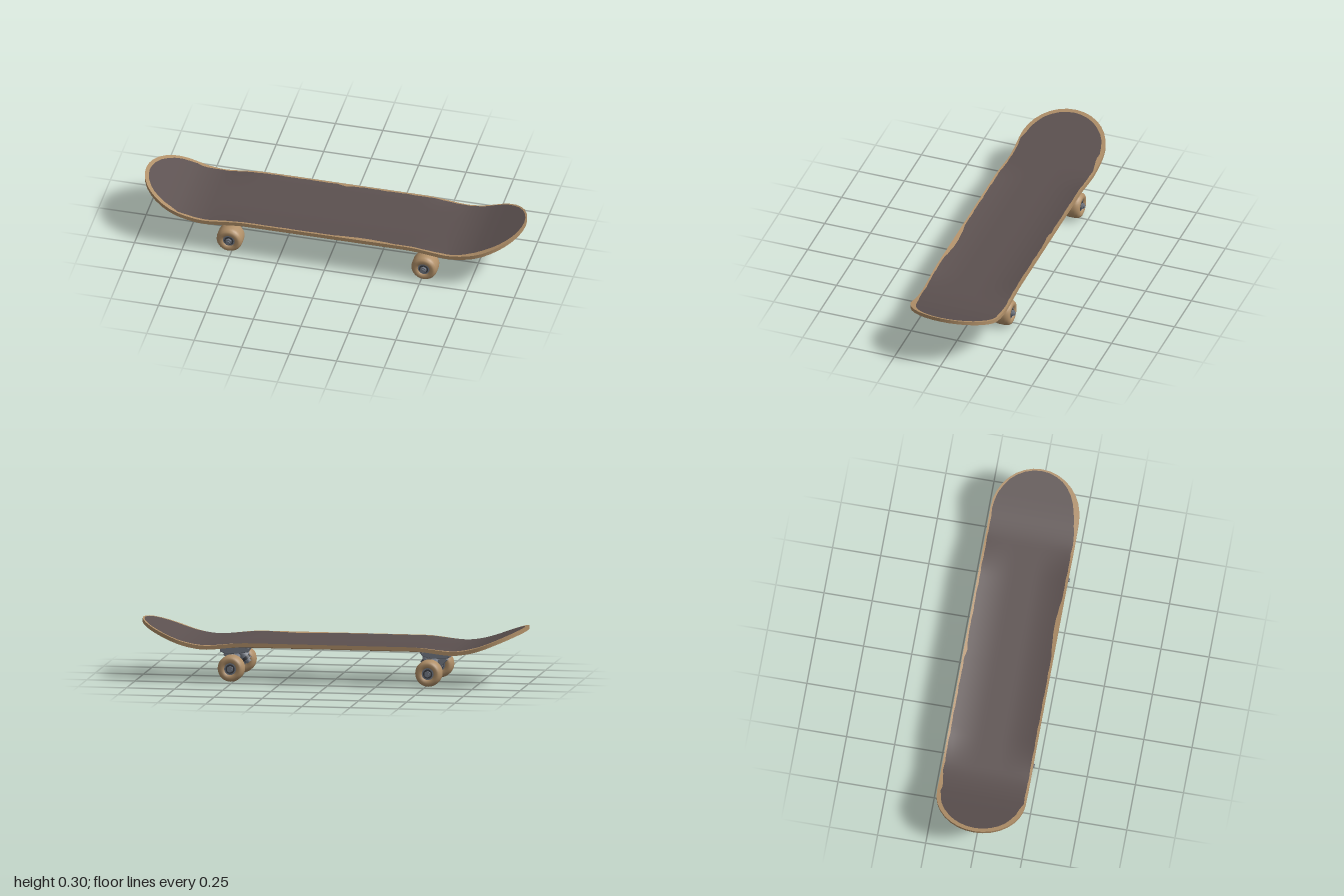
import * as THREE from 'three';

const mat = (name, color) => Object.assign(new THREE.MeshStandardMaterial({ color }), { name });
const wood = mat('wood', 0xb08f68);
const grip = mat('grip', 0x5b504f);
const metal = mat('metal', 0x747a85);
const dark = mat('darkMetal', 0x3d4046);

const HALF_W = 0.23, STRAIGHT = 0.78, THICK = 0.02;

function add(parent, name, geometry, material, pos = [0, 0, 0]) {
  const m = new THREE.Mesh(geometry, material);
  m.name = name;
  m.position.set(...pos);
  parent.add(m);
  return m;
}

// Grid surface from a rule f(i, v); i is the lengthwise station, v runs 0..1
function patch(f, nu, nv) {
  const pos = [], index = [];
  for (let i = 0; i <= nu; i++) for (let j = 0; j <= nv; j++) pos.push(...f(i, j / nv));
  for (let i = 0; i < nu; i++) for (let j = 0; j < nv; j++) {
    const a = i * (nv + 1) + j, b = a + nv + 1;
    index.push(a, a + 1, b, a + 1, b + 1, b);
  }
  const g = new THREE.BufferGeometry();
  g.setAttribute('position', new THREE.Float32BufferAttribute(pos, 3));
  g.setIndex(index);
  g.computeVertexNormals();
  return g;
}

// Lengthwise stations: straight middle and elliptical ends
const END = 8, MID = 64, ROWS = END * 2 + MID;
function station(i, inset) {
  const end = i < END ? i - END : Math.max(0, i - END - MID);
  const a = end / END * Math.PI / 2;
  const x = end ? Math.sign(end) * STRAIGHT + (0.22 - inset) * Math.sin(a)
    : STRAIGHT * (2 * (i - END) / MID - 1);
  return [x, (HALF_W - inset) * Math.cos(a)];
}

// Top surface height: kicked ends and raised long edges
function height(x, z) {
  const d = Math.max(0, Math.abs(x) - 0.62), k = 0.4;
  const kick = d < 0.2 ? k * d * d / 0.4 : k * (d - 0.1);
  const fade = 1 - THREE.MathUtils.smoothstep(Math.abs(x), 0.42, 0.66);
  const e = Math.max(0, (Math.abs(z) - 0.06) / 0.17);
  return 0.187 + kick + 0.02 * fade * e * e;
}

// Worn margin of the grip sheet along the long edges
function wear(x, side) {
  const bump = (c, w, h) => h * Math.max(0, 1 - Math.abs(x - c) / w);
  const rough = 0.002 * (1 + Math.sin(x * 61 + side * 2) * Math.sin(x * 23));
  return rough + (side > 0 ? bump(0.2, 0.18, 0.016) + bump(0.84, 0.16, 0.022)
    : bump(-0.74, 0.08, 0.014) + bump(0.0, 0.05, 0.008));
}

function buildDeck() {
  const deck = new THREE.Group();
  deck.name = 'deck';
  const point = (i, s, drop) => {
    const [x, w] = station(i, 0);
    return [x, height(x, s * w) - drop, s * w];
  };
  add(deck, 'deckTop', patch((i, v) => point(i, 2 * v - 1, 0), ROWS, 20), wood);
  add(deck, 'deckUnderside', patch((i, v) => point(i, 1 - 2 * v, THICK), ROWS, 20), wood);
  add(deck, 'deckEdgeFront', patch((i, v) => point(i, 1, THICK * v), ROWS, 1), wood);
  add(deck, 'deckEdgeBack', patch((i, v) => point(i, -1, THICK * (1 - v)), ROWS, 1), wood);
  add(deck, 'gripSheet', patch((i, v) => {
    const s = 2 * v - 1;
    const [x, w] = station(i, i < END ? 0.02 : 0.009);
    const z = s * Math.max(0, w - wear(x, Math.sign(s)));
    return [x, height(x, z) + 0.002, z];
  }, ROWS, 20), grip);
  return deck;
}

// Extrudes an outline symmetrically about its own plane
function slab(points, depth, bevel) {
  const shape = new THREE.Shape(points.map(p => new THREE.Vector2(...p)));
  return new THREE.ExtrudeGeometry(shape, {
    depth: depth - 2 * bevel, bevelThickness: bevel, bevelSize: bevel,
    bevelOffset: -bevel, bevelSegments: 1
  }).translate(0, 0, bevel - depth / 2);
}

const rod = (r, len, sides = 20) => new THREE.CylinderGeometry(r, r, len, sides).rotateX(Math.PI / 2);

function buildWheel() {
  const wheel = new THREE.Group();
  wheel.name = 'wheel';
  const profile = [[0.03, -0.036], [0.034, -0.045], [0.048, -0.048], [0.058, -0.044],
    [0.065, -0.034], [0.068, -0.02], [0.068, 0.02], [0.065, 0.034], [0.058, 0.044],
    [0.048, 0.048], [0.034, 0.045], [0.03, 0.036]].map(p => new THREE.Vector2(...p));
  add(wheel, 'tyre', new THREE.LatheGeometry(profile, 32).rotateX(Math.PI / 2), wood);
  add(wheel, 'bearing', rod(0.031, 0.076, 24), metal);
  add(wheel, 'bearingShield', rod(0.024, 0.08, 24), dark);
  add(wheel, 'axleNut', rod(0.017, 0.104, 6), metal);
  add(wheel, 'axleTip', rod(0.009, 0.116, 12), metal);
  return wheel;
}

// Truck with its outer end toward +x
function buildTruck() {
  const truck = new THREE.Group();
  truck.name = 'truck';
  add(truck, 'basePlate', new THREE.BoxGeometry(0.175, 0.01, 0.11), metal, [0.0025, 0.163, 0]);
  add(truck, 'baseBlock', slab([[-0.08, 0.16], [-0.06, 0.13], [-0.01, 0.12], [0.06, 0.12],
    [0.084, 0.13], [0.09, 0.16]], 0.052, 0.004), metal);
  for (const x of [-0.06, 0.065]) for (const z of [-0.044, 0.044])
    add(truck, 'mountingNut', new THREE.CylinderGeometry(0.009, 0.009, 0.01, 6), metal, [x, 0.156, z]);

  // Hanger: triangular body around the axle tube
  add(truck, 'hangerBody', slab([[-0.105, 0.05], [0.105, 0.05], [0.115, 0.085], [0.027, 0.122],
    [-0.027, 0.122], [-0.115, 0.085]], 0.04, 0.008).rotateY(Math.PI / 2), metal);
  add(truck, 'axleTube', rod(0.022, 0.27), metal, [0, 0.07, 0]);
  add(truck, 'pivotArm', slab([[0, 0.06], [0.02, 0.065], [0.07, 0.115], [0.06, 0.135],
    [0, 0.11]], 0.036, 0.004), metal);

  // Slanted kingpin with bushings on the inner side
  const pin = new THREE.Group();
  pin.name = 'kingpin';
  pin.position.set(-0.035, 0.11, 0);
  pin.rotation.z = -0.7;
  const disc = (name, r, h, y, material, sides = 20) =>
    add(pin, name, new THREE.CylinderGeometry(r, r, h, sides), material, [0, y, 0]);
  disc('upperBushing', 0.025, 0.03, 0.02, metal);
  disc('hangerRing', 0.031, 0.014, -0.002, metal);
  disc('lowerBushing', 0.024, 0.016, -0.017, dark);
  disc('washer', 0.026, 0.004, -0.027, metal);
  disc('kingpinNut', 0.014, 0.014, -0.036, metal, 6);
  truck.add(pin);

  for (const s of [-1, 1]) {
    const wheel = buildWheel();
    wheel.position.set(0, 0.068, s * 0.171);
    truck.add(wheel);
  }
  return truck;
}

export function createModel() {
  const model = new THREE.Group();
  model.name = 'skateboard';
  model.add(buildDeck());
  for (const s of [-1, 1]) {
    const truck = buildTruck();
    truck.position.x = s * 0.513;
    truck.rotation.y = s < 0 ? Math.PI : 0;
    model.add(truck);
  }
  return model;
}
